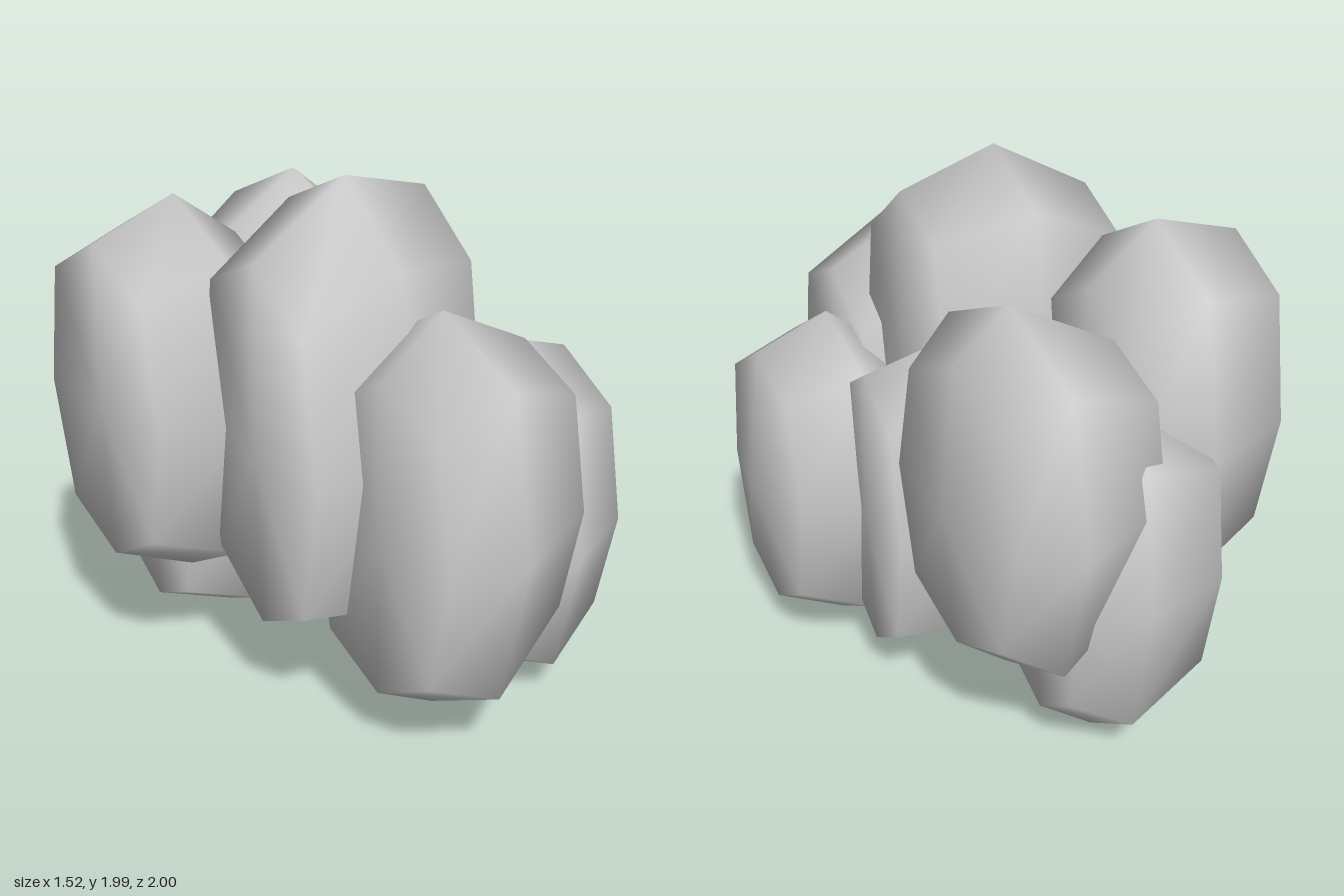
import * as THREE from 'three';
import { mergeVertices } from 'three/addons/utils/BufferGeometryUtils.js';

const material = new THREE.MeshStandardMaterial({ color: 0xcccccc });

// One eight-sided rounded lobe, turned about the x axis.
// xs: left pole, left ring, widest ring, right ring, right pole
// rA, rB: radius of the two end rings relative to the widest ring
// slopeX, slopeZ: how much the lobe leans upward along x and z
// skew: how much it shifts sideways along z
function lobe({ name, y, z, halfY, halfZ, xs, rA, rB, slopeX = 0, slopeZ = 0, skew = 0 }) {
  const radii = [0, rA, 1, rB, 0];
  let geometry = new THREE.LatheGeometry(xs.map((x, i) => new THREE.Vector2(radii[i], x)), 8);
  geometry.rotateZ(-Math.PI / 2);
  geometry.deleteAttribute('normal');
  geometry.deleteAttribute('uv');

  const p = geometry.attributes.position;
  for (let i = 0; i < p.count; i++) {
    const x = p.getX(i), a = p.getY(i), b = p.getZ(i);
    // Push the diagonal corners out a little, so the outline is squarer
    const k = Math.abs(a * b) > 0.01 ? 1.07 : 1;
    const zz = b * k * halfZ;
    p.setXYZ(i, x + skew * zz, a * k * halfY + slopeX * (x - xs[2]) + slopeZ * zz, zz);
  }
  geometry = mergeVertices(geometry, 1e-4);
  geometry.computeVertexNormals();

  const mesh = new THREE.Mesh(geometry, material);
  mesh.name = name;
  mesh.position.set(0, y, z);
  return mesh;
}

export function createModel() {
  const group = new THREE.Group();
  group.name = 'lobeCluster';
  const lobes = [
    { name: 'frontLobe', y: 0.885, z: 0.56, halfY: 0.755, halfZ: 0.44,
      xs: [-0.305, -0.305, -0.05, 0.325, 0.33], rA: 0.78, rB: 0.72, slopeX: 0.04, slopeZ: 0.05 },
    { name: 'frontLeftLobe', y: 0.695, z: 0.41, halfY: 0.67, halfZ: 0.385,
      xs: [0.17, 0.2, 0.42, 0.69, 0.76], rA: 0.76, rB: 0.81, slopeX: 0.11, slopeZ: -0.13, skew: 0.03 },
    { name: 'tallMiddleLobe', y: 1.165, z: 0.14, halfY: 0.825, halfZ: 0.375,
      xs: [-0.5, -0.48, -0.11, 0.24, 0.26], rA: 0.81, rB: 0.81, slopeX: 0.16, slopeZ: -0.2, skew: 0.03 },
    { name: 'middleLeftLobe', y: 0.75, z: 0, halfY: 0.62, halfZ: 0.27,
      xs: [-0.14, -0.12, 0.2, 0.46, 0.48], rA: 0.72, rB: 0.92 },
    { name: 'backRightLobe', y: 1.13, z: -0.39, halfY: 0.73, halfZ: 0.39,
      xs: [-0.765, -0.745, -0.42, -0.17, -0.16], rA: 0.81, rB: 0.77, slopeX: -0.1, skew: 0.06 },
    { name: 'backLeftLobe', y: 1.09, z: -0.56, halfY: 0.695, halfZ: 0.44,
      xs: [-0.18, -0.165, 0.22, 0.41, 0.46], rA: 0.68, rB: 0.77, skew: 0.1 },
    { name: 'lowBackLobe', y: 0.695, z: -0.615, halfY: 0.695, halfZ: 0.345,
      xs: [-0.45, -0.435, -0.11, 0.11, 0.13], rA: 0.77, rB: 0.74, slopeZ: -0.14 },
  ];
  lobes.forEach((spec) => group.add(lobe(spec)));
  return group;
}
